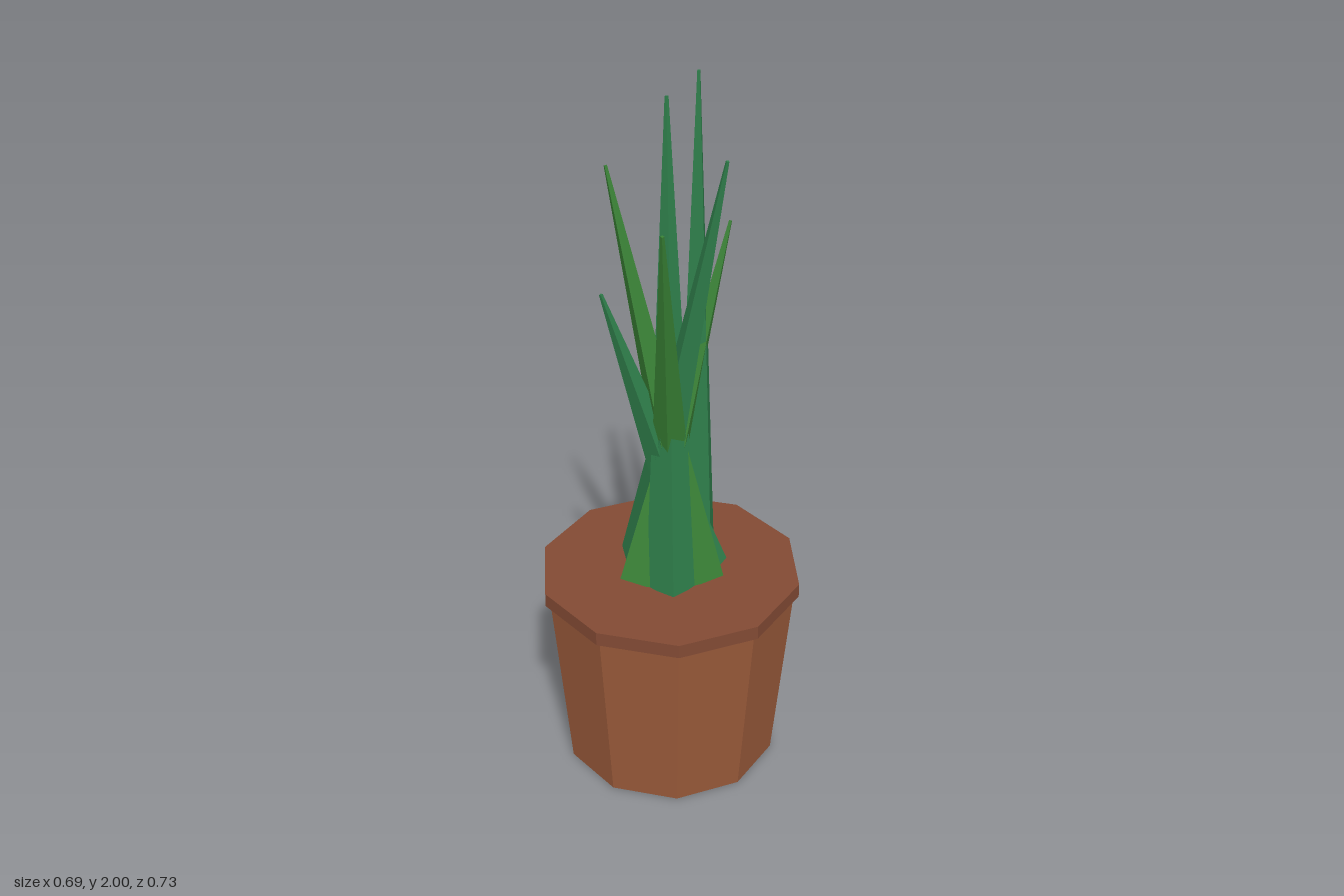
import * as THREE from 'three';

const flat = (name, color) => {
  const m = new THREE.MeshStandardMaterial({ color });
  m.name = name;
  m.flatShading = true;
  return m;
};

export function createModel() {
  const clay = flat('clay', 0x9a5a3a);
  const darkClay = flat('dark clay', 0x824a34);
  const blueGreen = flat('blue green', 0x2e7d4a);
  const leafGreen = flat('leaf green', 0x388034);

  const model = new THREE.Group();
  model.name = 'pottedPlant';
  const add = (name, geometry, material, y) => {
    const mesh = new THREE.Mesh(geometry, material);
    mesh.name = name;
    mesh.position.y = y;
    model.add(mesh);
  };

  // Ten-sided tapered pot with a closed rim slab
  add('pot', new THREE.CylinderGeometry(0.352, 0.3, 0.56, 10), clay, 0.28);
  add('rim', new THREE.CylinderGeometry(0.365, 0.365, 0.04, 10), darkClay, 0.567);

  // Four-sided blades rooted in a ring, most leaning across the centre
  const up = new THREE.Vector3(0, 1, 0);
  const ring = 0.09, soil = 0.582;
  const blades = [
    // tip x, y, z, root angle (null = opposite the tip), material
    [0.09, 2.0, 0.0, 0, blueGreen],
    [0.09, 1.9, -0.122, null, blueGreen],
    [0.05, 1.825, 0.155, null, blueGreen],
    [-0.08, 1.75, -0.155, null, leafGreen],
    [-0.128, 1.67, 0.125, null, leafGreen],
    [0.177, 1.59, 0.027, null, leafGreen],
    [-0.145, 1.435, -0.1, null, blueGreen],
  ];
  const leaves = new THREE.Group();
  leaves.name = 'leaves';
  model.add(leaves);
  blades.forEach(([x, y, z, rootAngle, material], i) => {
    const angle = rootAngle ?? Math.atan2(-z, -x);
    const root = new THREE.Vector3(ring * Math.cos(angle), soil, ring * Math.sin(angle));
    const axis = new THREE.Vector3(x, y, z).sub(root);
    const length = axis.length();
    const geometry = new THREE.CylinderGeometry(0.005, 0.071, length, 4);
    geometry.translate(0, length / 2, 0);
    geometry.rotateY(-angle); // one edge points outward
    const leaf = new THREE.Mesh(geometry, material);
    leaf.name = 'leaf' + (i + 1);
    leaf.quaternion.setFromUnitVectors(up, axis.normalize());
    leaf.position.copy(root);
    leaves.add(leaf);
  });

  return model;
}
